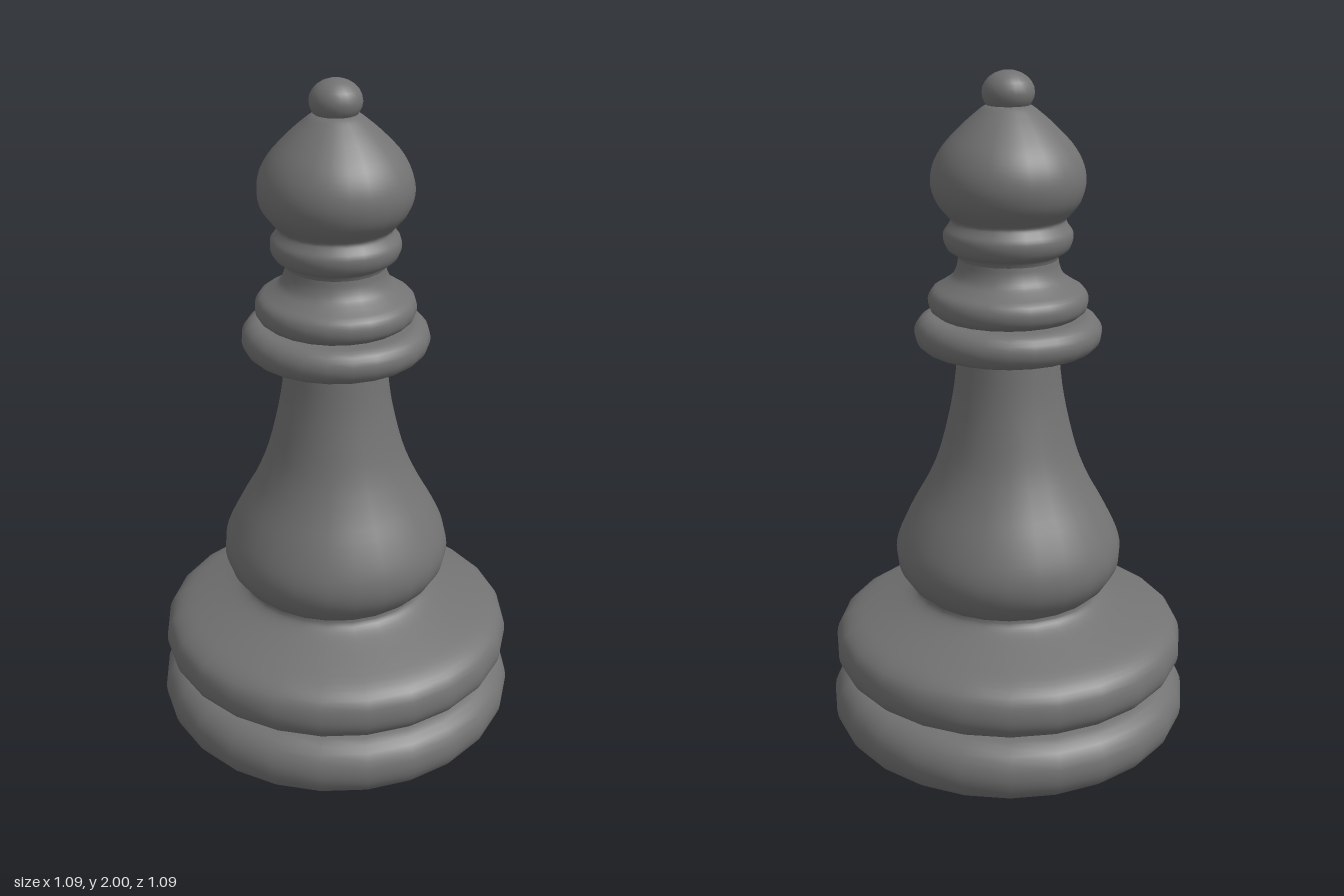
import * as THREE from 'three';

const SIDES = 24;
const material = new THREE.MeshStandardMaterial({ color: 0x727272 });

// Turned part from a list of [radius, height] points, bottom to top
function turned(name, points) {
  const profile = points.map(([r, y]) => new THREE.Vector2(Math.max(r, 0), y));
  const mesh = new THREE.Mesh(new THREE.LatheGeometry(profile, SIDES), material);
  mesh.name = name;
  return mesh;
}

// Smooth curve through a few profile points
function smooth(points, steps) {
  const curve = new THREE.CatmullRomCurve3(points.map(([r, y]) => new THREE.Vector3(r, y, 0)));
  return curve.getPoints(steps).map((p) => [p.x, p.y]);
}

// Half-round rim: outer radius, rounding depth, bottom and top heights
function rim(radius, depth, y0, y1, steps = 12) {
  const mid = (y0 + y1) / 2, half = (y1 - y0) / 2;
  return Array.from({ length: steps + 1 }, (_, i) => {
    const a = -Math.PI / 2 + (Math.PI * i) / steps;
    return [radius - depth + depth * Math.cos(a), mid + half * Math.sin(a)];
  });
}

// Disc with a rounded rim, closed to the axis
const disc = (name, radius, depth, y0, y1) =>
  turned(name, [[0, y0], ...rim(radius, depth, y0, y1), [0, y1]]);

export function createModel() {
  const model = new THREE.Group();
  model.name = 'chessPiece';

  // Two stacked base mouldings
  model.add(disc('baseDisc', 0.546, 0.09, 0, 0.187));
  model.add(turned('upperBase', [[0, 0.187], ...smooth([
    [0.45, 0.187], [0.5, 0.212], [0.527, 0.245], [0.533, 0.285], [0.52, 0.33],
    [0.485, 0.36], [0.42, 0.386], [0.35, 0.41], [0.3, 0.43], [0.279, 0.447], [0.275, 0.465],
  ], 30)]));

  // Bulbous body tapering into the stem
  model.add(turned('body', smooth([
    [0.275, 0.46], [0.305, 0.487], [0.332, 0.53], [0.341, 0.575], [0.333, 0.625],
    [0.3, 0.7], [0.25, 0.79], [0.21, 0.88], [0.182, 0.98], [0.16, 1.09], [0.145, 1.23],
  ], 32)));

  // Collar rings
  model.add(disc('lowerCollar', 0.273, 0.05, 1.21, 1.311));
  model.add(turned('upperCollar', [[0, 1.313], ...smooth([
    [0.205, 1.313], [0.226, 1.33], [0.232, 1.357], [0.222, 1.383], [0.19, 1.404],
    [0.162, 1.425], [0.148, 1.452], [0.143, 1.48],
  ], 24)]));

  // Neck ring flowing into the domed head
  model.add(turned('head', smooth([
    [0.143, 1.475], [0.15, 1.49], [0.173, 1.503], [0.185, 1.528], [0.184, 1.553],
    [0.17, 1.574], [0.164, 1.588], [0.178, 1.605], [0.207, 1.642], [0.22, 1.69],
    [0.213, 1.74], [0.187, 1.79], [0.142, 1.84], [0.095, 1.882], [0.06, 1.906], [0, 1.91],
  ], 48)));

  // Small finial ball
  const finial = new THREE.Mesh(new THREE.SphereGeometry(0.074, SIDES, 12), material);
  finial.name = 'finial';
  finial.scale.y = 0.82;
  finial.position.y = 1.9393;
  model.add(finial);

  return model;
}
